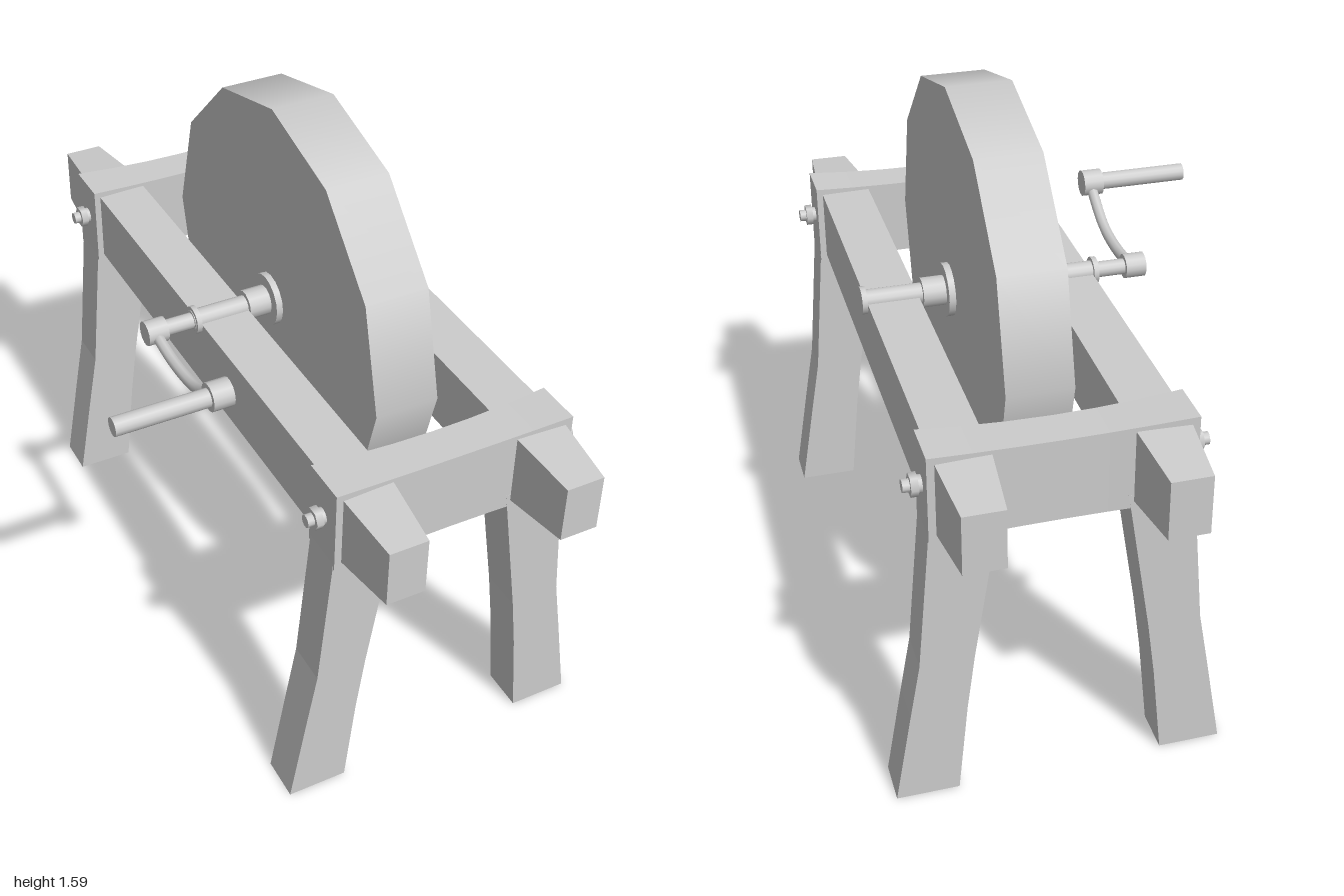
import * as THREE from 'three';

const stone = new THREE.MeshStandardMaterial({ color: 0xcccccc });
stone.name = 'plain grey';

function add(parent, name, geo) {
  const m = new THREE.Mesh(geo, stone);
  m.name = name;
  parent.add(m);
  return m;
}

// Cylinder lying along x from x0 to x1
function rod(parent, name, x0, x1, r, y, z, sides = 14) {
  const g = new THREE.CylinderGeometry(r, r, Math.abs(x1 - x0), sides);
  g.rotateZ(Math.PI / 2);
  g.translate((x0 + x1) / 2, y, z);
  return add(parent, name, g);
}

// Box reshaped by a rule applied to every vertex, with flat faces
function shapedBox(w, h, d, sx, sz, rule) {
  const g = new THREE.BoxGeometry(w, h, d, sx, 1, sz).toNonIndexed();
  const p = g.attributes.position, v = new THREE.Vector3();
  for (let i = 0; i < p.count; i++) {
    rule(v.fromBufferAttribute(p, i));
    p.setXYZ(i, v.x, v.y, v.z);
  }
  g.computeVertexNormals();
  return g;
}

// Long rail whose ends taper beyond the crossbars
function railGeometry() {
  return shapedBox(0.14, 0.2, 1.986, 1, 10, (v) => {
    const t = Math.max(0, (Math.abs(v.z) - 0.79) / 0.203);
    v.x *= 1 - 0.25 * t;
    v.y *= 1 - 0.2 * t;
  });
}

// Crossbar, slightly waisted and sagging at the middle
function crossbarGeometry() {
  return shapedBox(0.662, 0.236, 0.128, 6, 1, (v) => {
    const t = 1 - (v.x / 0.331) ** 2;
    v.z *= 1 - 0.14 * t;
    if (v.y > 0) v.y -= 0.012 * t;
  });
}

// Splayed leg drawn in the front plane, side = 1 or -1
function legGeometry(side) {
  const pts = [[0.33, 0.83], [0.332, 0.79], [0.364, 0.42], [0.392, 0.26], [0.436, 0],
    [0.272, 0], [0.246, 0.26], [0.225, 0.42], [0.167, 0.79], [0.16, 0.83]];
  const s = new THREE.Shape(pts.map(([x, y]) => new THREE.Vector2(x * side, y)));
  const g = new THREE.ExtrudeGeometry(s, { depth: 0.116, bevelEnabled: false });
  g.translate(0, 0, -0.058);
  return g;
}

export function createModel() {
  const root = new THREE.Group();
  root.name = 'grindingWheel';
  const body = new THREE.Group();
  body.name = 'assembly';
  body.position.x = 0.127;
  body.rotation.y = 0.0215;
  root.add(body);

  // Frame: two rails through two legged crossbars
  for (const side of [-1, 1]) add(body, 'rail', railGeometry()).position.set(0.243 * side, 0.91, 0);
  for (const end of [-1, 1]) {
    const trestle = new THREE.Group();
    trestle.name = end > 0 ? 'frontTrestle' : 'backTrestle';
    trestle.position.z = 0.743 * end;
    body.add(trestle);
    add(trestle, 'crossbar', crossbarGeometry()).position.y = 0.91;
    for (const side of [-1, 1]) {
      add(trestle, 'leg', legGeometry(side));
      rod(trestle, 'washer', 0.328 * side, 0.341 * side, 0.022, 0.92, 0);
      rod(trestle, 'nut', 0.341 * side, 0.36 * side, 0.03, 0.92, 0, 6);
      rod(trestle, 'boltEnd', 0.36 * side, 0.378 * side, 0.017, 0.92, 0, 10);
    }
  }

  // Twelve-sided grinding stone
  rod(body, 'wheel', -0.093, 0.083, 0.577, 1.01, 0, 12);

  // Axle with stepped collars
  const axle = new THREE.Group();
  axle.name = 'axle';
  axle.position.y = 1.01;
  body.add(axle);
  rod(axle, 'shaft', -0.33, 0.32, 0.028, 0, 0);
  rod(axle, 'crankShaft', -0.43, -0.33, 0.022, 0, 0);
  rod(axle, 'endCap', 0.314, 0.328, 0.038, 0, 0);
  rod(axle, 'crankSideCap', -0.328, -0.314, 0.038, 0, 0);
  for (const [side, face] of [[-1, -0.093], [1, 0.083]]) {
    rod(axle, 'flange', face, face + 0.018 * side, 0.073, 0, 0, 16);
    rod(axle, 'collar', face + 0.018 * side, face + 0.08 * side, 0.041, 0, 0);
  }

  // Crank with a bowed arm and a handle
  const crank = new THREE.Group();
  crank.name = 'crank';
  body.add(crank);
  rod(crank, 'crankHub', -0.465, -0.408, 0.034, 1.01, 0);
  const path = new THREE.CatmullRomCurve3([
    new THREE.Vector3(-0.437, 1.005, 0.01), new THREE.Vector3(-0.437, 0.99, 0.12),
    new THREE.Vector3(-0.437, 1.005, 0.26), new THREE.Vector3(-0.437, 1.08, 0.4)]);
  add(crank, 'crankArm', new THREE.TubeGeometry(path, 14, 0.016, 8));
  rod(crank, 'handleHub', -0.468, -0.411, 0.038, 1.083, 0.4);
  rod(crank, 'handle', -0.721, -0.468, 0.025, 1.083, 0.4);

  return root;
}
